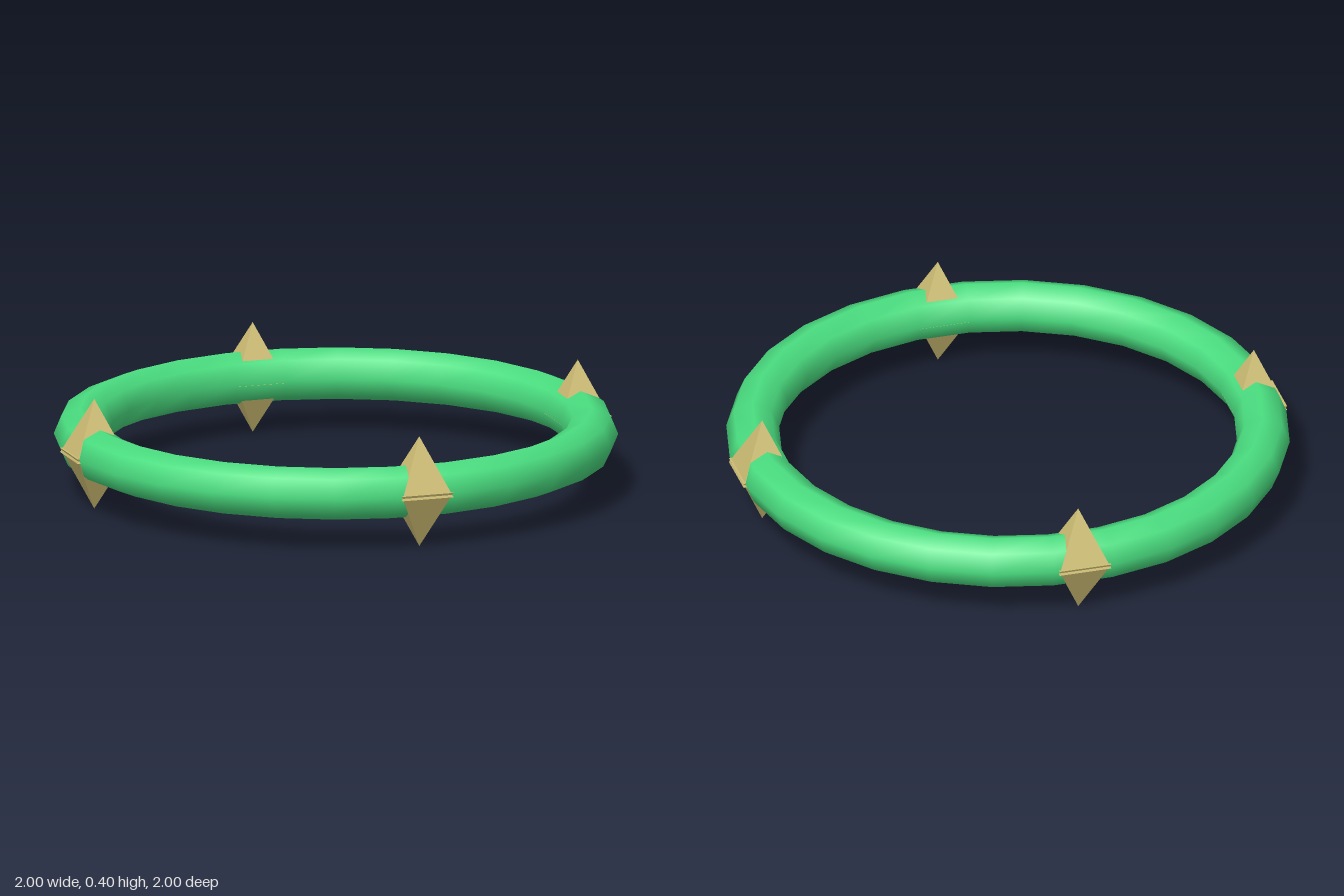
import * as THREE from 'three';

const RING_RADIUS = 0.906;
const TUBE_RADIUS = 0.094;
const CENTRE_Y = 0.202;
const SPIKE_HEIGHT = 0.208;
const SPIKE_RADIUS = 0.135;

export function createModel() {
  const green = new THREE.MeshStandardMaterial({ color: 0x4ade80 });
  green.name = 'green';
  const gold = new THREE.MeshStandardMaterial({ color: 0xcdbd73 });
  gold.name = 'gold';

  const model = new THREE.Group();
  model.name = 'spikedRing';

  // Smooth ring lying flat
  const ring = new THREE.Mesh(
    new THREE.TorusGeometry(RING_RADIUS, TUBE_RADIUS, 8, 28).rotateX(Math.PI / 2), green);
  ring.name = 'ring';
  ring.position.y = CENTRE_Y;
  model.add(ring);

  // Four-sided spike with crisp faces, its corners on the x and z axes
  const upGeometry = new THREE.ConeGeometry(SPIKE_RADIUS, SPIKE_HEIGHT, 4).toNonIndexed();
  upGeometry.computeVertexNormals();
  const downGeometry = upGeometry.clone().rotateX(Math.PI);

  // Pairs of spikes on the diagonals; their bases overlap slightly inside the tube
  const offset = RING_RADIUS * Math.SQRT1_2;
  for (const sx of [-1, 1]) {
    for (const sz of [-1, 1]) {
      const pair = new THREE.Group();
      pair.name = 'spikePair';
      pair.position.set(sx * offset, 0, sz * offset);

      const up = new THREE.Mesh(upGeometry, gold);
      up.name = 'upperSpike';
      up.position.y = 0.4 - SPIKE_HEIGHT / 2;

      const down = new THREE.Mesh(downGeometry, gold);
      down.name = 'lowerSpike';
      down.position.y = SPIKE_HEIGHT / 2;

      pair.add(up, down);
      model.add(pair);
    }
  }
  return model;
}
